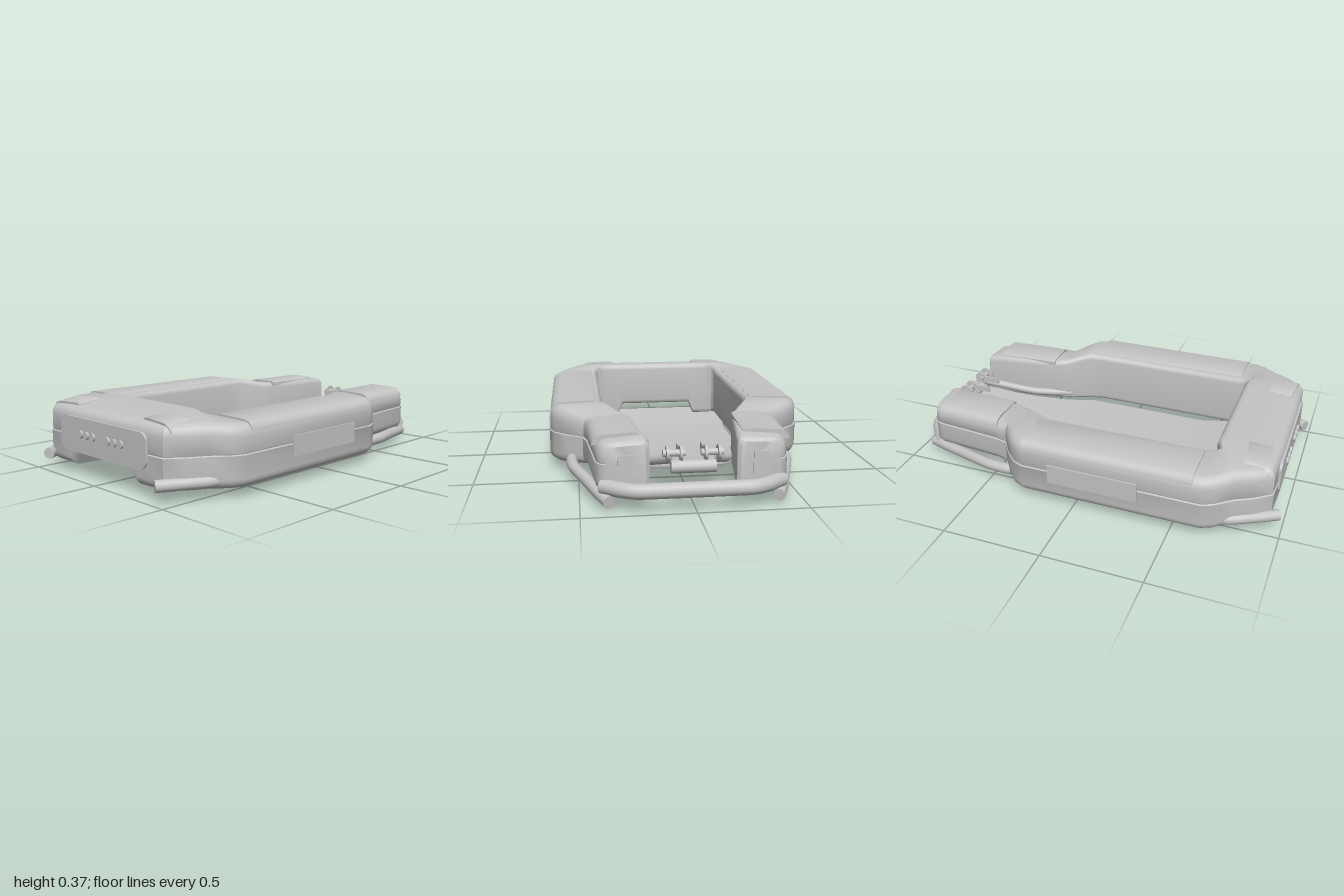
import * as THREE from 'three';
import { toCreasedNormals } from 'three/addons/utils/BufferGeometryUtils.js';

const V = (x, y, z) => new THREE.Vector3(x, y, z);

// Skin a list of equal-length rings of points, with flat caps at both ends
function loft(rings, crease = 0.6) {
  const n = rings[0].length, pos = [], idx = [];
  rings.forEach(r => r.forEach(p => pos.push(p.x, p.y, p.z)));
  for (let i = 0; i < rings.length - 1; i++) {
    for (let j = 0; j < n; j++) {
      const a = i * n + j, b = i * n + (j + 1) % n;
      idx.push(a, b, b + n, a, b + n, a + n);
    }
  }
  const e = (rings.length - 1) * n;
  for (let j = 1; j < n - 1; j++) idx.push(0, j + 1, j, e, e + j, e + j + 1);
  const g = new THREE.BufferGeometry();
  g.setAttribute('position', new THREE.Float32BufferAttribute(pos, 3));
  g.setIndex(idx);
  return toCreasedNormals(g, crease);
}

// Rounded hull section between an inner and an outer plan point, with a seam on the outside
function hullRing([ix, iz, ox, oz, bot, topIn, topOut]) {
  const w = Math.hypot(ox - ix, oz - iz), pts = [];
  const arc = (cu, cv, r, a0) => {
    for (let k = 0; k <= 5; k++) {
      const a = a0 + (k / 5) * Math.PI / 2;
      pts.push([cu + r * Math.cos(a), cv + r * Math.sin(a)]);
    }
  };
  arc(0.025, bot + 0.025, 0.025, Math.PI);
  arc(w - 0.045, bot + 0.045, 0.045, -Math.PI / 2);
  pts.push([w, 0.2], [w - 0.007, 0.204], [w - 0.004, 0.21]);
  arc(w - 0.06, topOut - 0.055, 0.055, 0);
  arc(0.03, topIn - 0.03, 0.03, Math.PI / 2);
  return pts.map(([u, v]) => V(ix + (ox - ix) * u / w, v, iz + (oz - iz) * u / w));
}

export function createModel() {
  const root = new THREE.Group();
  const grey = new THREE.MeshStandardMaterial({ color: 0xc4c4c4 });
  grey.name = 'light grey';

  const add = (name, geo, x = 0, y = 0, z = 0) => {
    const m = new THREE.Mesh(geo, grey);
    m.name = name;
    m.position.set(x, y, z);
    root.add(m);
    return m;
  };
  const rod = (name, pts, r) => {
    const curve = new THREE.CatmullRomCurve3(pts, false, 'catmullrom', 0.35);
    add(name, new THREE.TubeGeometry(curve, 40, r, 14));
    [0, 1].forEach(t => {
      const cap = add(name + 'End', new THREE.CircleGeometry(r, 14));
      const p = curve.getPointAt(t), d = curve.getTangentAt(t).multiplyScalar(t ? 1 : -1);
      cap.position.copy(p);
      cap.quaternion.setFromUnitVectors(V(0, 0, 1), d);
    });
  };

  // U-shaped hull: inner x, z, outer x, z, bottom, inner top, outer top
  const half = [
    [0.21, -0.892, 0.39, -0.892, 0.09, 0.285, 0.28],
    [0.195, -0.88, 0.415, -0.875, 0.075, 0.3, 0.295],
    [0.195, -0.85, 0.43, -0.84, 0.07, 0.31, 0.3],
    [0.25, -0.48, 0.46, -0.5, 0.07, 0.315, 0.305],
    [0.275, -0.41, 0.475, -0.43, 0.065, 0.32, 0.31],
    [0.32, -0.34, 0.56, -0.37, 0.058, 0.337, 0.325],
    [0.35, -0.29, 0.615, -0.315, 0.052, 0.345, 0.335],
    [0.37, -0.22, 0.638, -0.26, 0.05, 0.338, 0.335],
    [0.37, 0.6, 0.638, 0.65, 0.05, 0.338, 0.335],
    [0.372, 0.64, 0.615, 0.7, 0.05, 0.35, 0.338],
    [0.36, 0.66, 0.55, 0.78, 0.05, 0.36, 0.345],
    [0.34, 0.65, 0.5, 0.87, 0.05, 0.365, 0.345],
    [0.32, 0.64, 0.44, 0.945, 0.05, 0.368, 0.342],
    [0.24, 0.64, 0.26, 0.952, 0.05, 0.37, 0.342],
    [0.21, 0.64, 0.22, 0.953, 0.12, 0.37, 0.342],
  ];
  const otherHalf = half.map(s => [-s[0], s[1], -s[2], ...s.slice(3)]).reverse();
  add('hull', loft([...half, ...otherHalf].map(hullRing)));

  // Floor pan that dips below the hull and rises to the rear: z, half width, top
  const pan = [
    [-0.885, 0.06, 0.18], [-0.8, 0.1, 0.155], [-0.6, 0.19, 0.095], [-0.42, 0.28, 0.055],
    [-0.28, 0.365, 0.034], [0, 0.38, 0.026], [0.4, 0.39, 0.018], [0.6, 0.42, 0.04], [0.76, 0.45, 0.062],
  ];
  add('floorPan', loft(pan.map(([z, w, y]) =>
    [V(-w, y - 0.013, z), V(w, y - 0.013, z), V(w, y, z), V(-w, y, z)])));
  add('floorNose', new THREE.CylinderGeometry(0.03, 0.03, 0.2, 16), 0, 0.175, -0.87)
    .rotation.z = Math.PI / 2;

  // Front panel with two groups of round buttons
  const panel = new THREE.Shape();
  panel.moveTo(-0.27, 0.125);
  panel.lineTo(0.27, 0.125);
  panel.quadraticCurveTo(0.33, 0.13, 0.34, 0.17);
  panel.lineTo(0.335, 0.27);
  panel.quadraticCurveTo(0.33, 0.295, 0.29, 0.298);
  panel.lineTo(-0.29, 0.298);
  panel.quadraticCurveTo(-0.33, 0.295, -0.335, 0.27);
  panel.lineTo(-0.34, 0.17);
  panel.quadraticCurveTo(-0.33, 0.13, -0.27, 0.125);
  add('frontPanel', new THREE.ExtrudeGeometry(panel, { depth: 0.03, bevelEnabled: false }), 0, 0, 0.927);

  // Pad section drawn across x for side s, pulled along z, dropping over the outer edge
  const padGeometry = (s, x0, x1, top, length) => {
    const p = new THREE.Shape();
    p.moveTo(s * x0, top - 0.03);
    p.lineTo(s * x1, top - 0.05);
    p.quadraticCurveTo(s * (x1 - 0.005), top - 0.012, s * (x1 - 0.05), top - 0.004);
    p.lineTo(s * (x0 + 0.015), top);
    p.lineTo(s * x0, top - 0.008);
    return toCreasedNormals(new THREE.ExtrudeGeometry(p, { depth: length, bevelEnabled: false }), 0.6);
  };

  // Pads: name, inner x, outer x, top, rear z, length, yaw, pitch
  const pads = [
    ['SidePad', 0.4, 0.632, 0.347, -0.26, 0.86, 0, 0],
    ['RearPad', 0.24, 0.452, 0.322, -0.82, 0.34, 0.05, 0],
    ['FrontPad', 0.26, 0.465, 0.357, 0.79, 0.12, -0.08, 0.1],
  ];

  for (const s of [1, -1]) {
    const side = s > 0 ? 'left' : 'right';
    for (const [name, x0, x1, top, z, length, yaw, pitch] of pads) {
      const c = s * (x0 + x1) / 2;
      const g = padGeometry(s, x0, x1, top, length);
      g.translate(-c, -top, -length / 2).rotateY(s * yaw).rotateX(pitch);
      add(side + name, g, c, top, z + length / 2);
    }

    add(side + 'SidePanel', new THREE.BoxGeometry(0.008, 0.1, 0.46), s * 0.638, 0.19, 0.11);
    add(side + 'RearSwitch', new THREE.BoxGeometry(0.07, 0.1, 0.012), s * 0.3, 0.19, -0.893);
    [0.06, 0.11, 0.16].forEach(x => {
      add(side + 'Button', new THREE.CylinderGeometry(0.019, 0.019, 0.02, 20), s * x, 0.22, 0.958)
        .rotation.x = Math.PI / 2;
    });

    // Front corner rods, rear side rails and the struts along the pan
    rod(side + 'FrontRod', [V(s * 0.425, 0.085, 0.98), V(s * 0.5, 0.088, 0.85),
      V(s * 0.54, 0.088, 0.77), V(s * 0.56, 0.09, 0.7)], 0.028);
    rod(side + 'RearRail', [V(s * 0.5, 0.085, -0.3), V(s * 0.53, 0.083, -0.4), V(s * 0.52, 0.08, -0.52),
      V(s * 0.46, 0.068, -0.7), V(s * 0.42, 0.058, -0.82), V(s * 0.375, 0.045, -0.93)], 0.028);
    rod(side + 'Strut', [V(s * 0.3, 0.1, -0.4), V(s * 0.2, 0.125, -0.6), V(s * 0.075, 0.21, -0.86)], 0.021);

    // Clamps at the rear of the pan
    add(side + 'ClampPin', new THREE.CylinderGeometry(0.016, 0.016, 0.1, 12), s * 0.085, 0.235, -0.86)
      .rotation.z = Math.PI / 2;
    [[0.055, 0.13], [0.115, 0.06]].forEach(([x, length]) => {
      add(side + 'ClampDisc', new THREE.CylinderGeometry(0.034, 0.034, 0.012, 18), s * x, 0.235, -0.865)
        .rotation.z = Math.PI / 2;
      add(side + 'ClampArm', new THREE.BoxGeometry(0.01, 0.03, length), s * x, 0.235, -0.88 + length / 2);
    });
  }

  // Rear bumper bar
  rod('rearBar', [V(0.4, 0.1, -0.87), V(0.33, 0.1, -0.925), V(0.27, 0.1, -0.957), V(0.21, 0.1, -0.965),
    V(-0.21, 0.1, -0.965), V(-0.27, 0.1, -0.957), V(-0.33, 0.1, -0.925), V(-0.4, 0.1, -0.87)], 0.035);

  return root;
}
